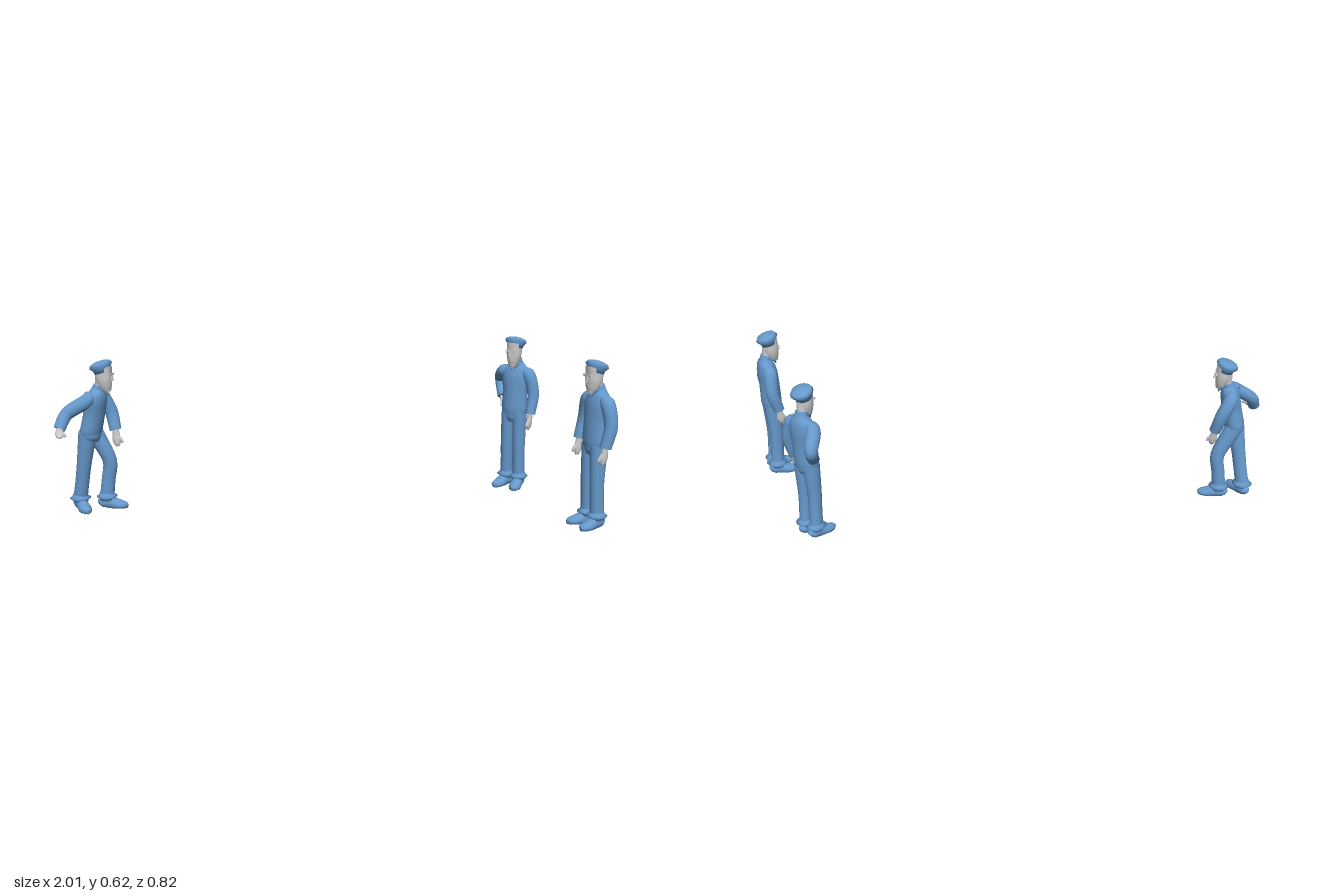
import * as THREE from 'three';

const cloth = new THREE.MeshStandardMaterial({ color: 0x6699cc });
const skin = new THREE.MeshStandardMaterial({ color: 0xcccccc });

// Smooth closed body through elliptical sections [x, y, z, sideRadius, otherRadius]
function loft(name, sections, mat, { ref = [0, 0, 1], steps = 4, sides = 14, adjust } = {}) {
  const path = new THREE.CatmullRomCurve3(sections.map(s => new THREE.Vector3(s[0], s[1], s[2])));
  const size = new THREE.CatmullRomCurve3(sections.map(s => new THREE.Vector3(s[3], s[4], 0)));
  const refV = new THREE.Vector3(...ref), rings = (sections.length - 1) * steps;
  const pos = [], idx = [], p = new THREE.Vector3();
  for (let i = 0; i <= rings; i++) {
    const c = path.getPoint(i / rings), r = size.getPoint(i / rings), t = path.getTangent(i / rings);
    const s = new THREE.Vector3().crossVectors(t, refV).normalize();
    const n = new THREE.Vector3().crossVectors(t, s);
    for (let j = 0; j < sides; j++) {
      const a = j / sides * Math.PI * 2;
      p.copy(c).addScaledVector(s, r.x * Math.cos(a)).addScaledVector(n, r.y * Math.sin(a));
      if (adjust) adjust(p);
      pos.push(p.x, p.y, p.z);
      if (i < rings) {
        const k = i * sides, j2 = (j + 1) % sides;
        idx.push(k + j, k + j2, k + sides + j, k + j2, k + sides + j2, k + sides + j);
      }
    }
  }
  // flat ends with their own vertices
  for (const [ring, flip] of [[0, true], [rings, false]]) {
    const base = pos.length / 3;
    pos.push(...pos.slice(ring * sides * 3, (ring + 1) * sides * 3));
    for (let j = 1; j < sides - 1; j++)
      idx.push(base, base + (flip ? j + 1 : j), base + (flip ? j : j + 1));
  }
  const g = new THREE.BufferGeometry();
  g.setAttribute('position', new THREE.Float32BufferAttribute(pos, 3));
  g.setIndex(idx);
  g.computeVertexNormals();
  const m = new THREE.Mesh(g, mat);
  m.name = name;
  return m;
}

function box(name, size, at, rot, mat) {
  const m = new THREE.Mesh(new THREE.BoxGeometry(...size), mat);
  m.name = name;
  m.position.set(...at);
  m.rotation.set(...rot);
  return m;
}

// Head with flattened face, neck and soft cap
function head() {
  const g = new THREE.Group();
  g.name = 'head';
  g.add(loft('face', [
    [0, 0.496, 0.036, 0.011, 0.010], [0, 0.515, 0.028, 0.021, 0.023],
    [0, 0.545, 0.022, 0.028, 0.032], [0, 0.592, 0.020, 0.029, 0.034]
  ], skin, { adjust: p => { p.z = Math.min(p.z, 0.049); } }));
  g.add(loft('neck', [[0, 0.495, 0, 0.02, 0.02], [0, 0.52, 0.004, 0.018, 0.019], [0, 0.56, 0.01, 0.022, 0.022]], skin));
  g.add(box('brow', [0.046, 0.007, 0.008], [0, 0.561, 0.048], [0, 0, 0], skin));
  g.add(box('nose', [0.009, 0.022, 0.008], [0, 0.549, 0.051], [-0.15, 0, 0], skin));
  const profile = [[0, -0.012], [0.031, -0.012], [0.033, 0], [0.043, 0.013], [0.037, 0.023], [0.02, 0.029], [0, 0.031]];
  const cap = new THREE.Mesh(new THREE.LatheGeometry(profile.map(q => new THREE.Vector2(...q)), 14), cloth);
  cap.name = 'cap';
  cap.position.set(0, 0.582, 0.015);
  cap.rotation.x = -0.3;
  g.add(cap);
  return g;
}

// Sleeve through shoulder, elbow and wrist, with a hand reaching to the tip
function arm(name, [sh, el, wr, tip]) {
  const g = new THREE.Group();
  g.name = name;
  g.add(loft('sleeve', [
    [sh[0] * 0.55, sh[1] + 0.02, sh[2], 0.012, 0.016], [...sh, 0.024, 0.027],
    [...el, 0.022, 0.025], [...wr, 0.019, 0.022]
  ], cloth, { steps: 6 }));
  const at = k => wr.map((v, i) => v + (tip[i] - v) * k);
  g.add(loft('hand', [
    [...at(-0.1), 0.010, 0.012], [...at(0.25), 0.010, 0.013], [...at(0.55), 0.010, 0.017],
    [...at(0.85), 0.008, 0.012], [...at(1), 0.004, 0.006]
  ], skin, { sides: 10 }));
  const a = at(0.3), b = at(0.7);
  g.add(loft('thumb', [
    [a[0], a[1], a[2] + 0.006, 0.006, 0.006], [b[0], b[1], b[2] + 0.02, 0.005, 0.005],
    [b[0], b[1] - 0.006, b[2] + 0.02, 0.002, 0.002]
  ], skin, { sides: 8 }));
  return g;
}

// Trouser leg with turned-up cuff, and a shoe pointing along yaw
function leg(name, [hip, knee, ankle], yaw) {
  const g = new THREE.Group();
  g.name = name;
  const mid = knee.map((v, i) => v * 0.5 + ankle[i] * 0.5);
  g.add(loft('trouserLeg', [
    [...hip, 0.026, 0.034], [hip[0] * 0.7 + knee[0] * 0.3, hip[1] * 0.7 + knee[1] * 0.3, hip[2] * 0.7 + knee[2] * 0.3, 0.026, 0.032],
    [...knee, 0.024, 0.027], [...mid, 0.023, 0.026], [ankle[0], 0.045, ankle[2], 0.024, 0.027]
  ], cloth));
  g.add(loft('cuff', [
    [ankle[0], 0.060, ankle[2], 0.024, 0.027], [ankle[0], 0.052, ankle[2], 0.027, 0.030],
    [ankle[0], 0.036, ankle[2], 0.027, 0.030], [ankle[0], 0.028, ankle[2], 0.025, 0.028]
  ], cloth, { steps: 2 }));
  const shoe = loft('shoe', [
    [0, 0.012, -0.030, 0.010, 0.012], [0, 0.018, -0.022, 0.020, 0.020], [0, 0.020, 0.010, 0.021, 0.025],
    [0, 0.012, 0.045, 0.024, 0.020], [0, 0.010, 0.070, 0.017, 0.014], [0, 0.008, 0.080, 0.006, 0.008]
  ], cloth, { ref: [0, 1, 0], adjust: p => { p.y = Math.max(p.y, 0); } });
  shoe.position.set(ankle[0], 0, ankle[2]);
  shoe.rotation.y = yaw;
  g.add(shoe);
  return g;
}

// Whole figure; lean shears the upper body forward, squash lowers it
function figure(name, { at, yaw, lean = 0, squash = 1, leftArm, rightArm, leftLeg, rightLeg, toes = [0.2, -0.2] }) {
  const g = new THREE.Group();
  g.name = name;
  const bend = p => { const h = Math.max(p.y - 0.31, 0); p.z += lean * h; p.y -= h * (1 - squash); };
  g.add(loft('shirt', [
    [0, 0.300, 0, 0.049, 0.037], [0, 0.325, 0, 0.052, 0.040], [0, 0.390, 0, 0.050, 0.039],
    [0, 0.450, -0.002, 0.056, 0.038], [0, 0.485, -0.004, 0.050, 0.032], [0, 0.508, -0.002, 0.026, 0.024],
    [0, 0.524, 0.002, 0.022, 0.022]
  ], cloth, { adjust: bend, sides: 18 }));
  g.add(loft('trouserSeat', [
    [0, 0.320, 0, 0.046, 0.035], [0, 0.295, 0, 0.047, 0.036], [0, 0.272, 0, 0.032, 0.028]
  ], cloth));
  // head and collar ride on the bent torso
  const top = new THREE.Group();
  top.name = 'headAndCollar';
  const c = new THREE.Vector3(0, 0.515, 0);
  bend(c);
  top.position.set(0, c.y - 0.515, c.z);
  top.add(head());
  for (const s of [-1, 1])
    top.add(box('collarFlap', [0.010, 0.032, 0.005], [s * 0.011, 0.499, 0.027], [-0.5, 0, -s * 0.55], cloth));
  g.add(top);
  g.add(arm('leftArm', leftArm), arm('rightArm', rightArm));
  g.add(leg('leftLeg', leftLeg, toes[0]), leg('rightLeg', rightLeg, toes[1]));
  g.position.set(at[0], 0, at[1]);
  g.rotation.y = yaw;
  return g;
}

const mirror = pts => pts.map(([x, y, z]) => [-x, y, z]);

export function createModel() {
  const model = new THREE.Group();
  model.name = 'threeSailors';
  const hangArm = [[0.056, 0.465, -0.002], [0.076, 0.390, -0.006], [0.076, 0.312, 0.012], [0.074, 0.250, 0.020]];
  const standLeg = [[0.024, 0.310, 0], [0.026, 0.170, 0], [0.027, 0.040, -0.008]];

  model.add(figure('standingSailor', {
    at: [0.94, 0.135], yaw: -1.01,
    leftArm: hangArm, rightArm: mirror(hangArm), leftLeg: standLeg, rightLeg: mirror(standLeg)
  }));
  model.add(figure('handOnHipSailor', {
    at: [0.66, -0.29], yaw: -0.49,
    leftArm: hangArm,
    rightArm: [[-0.056, 0.468, -0.004], [-0.097, 0.420, -0.060], [-0.068, 0.358, -0.026], [-0.042, 0.322, 0.004]],
    leftLeg: standLeg, rightLeg: mirror(standLeg)
  }));
  model.add(figure('reachingSailor', {
    at: [-0.90, 0.24], yaw: Math.PI / 2, lean: 0.2, squash: 0.83,
    leftArm: [[0.052, 0.440, 0.028], [0.068, 0.375, 0.055], [0.056, 0.302, 0.074], [0.048, 0.240, 0.082]],
    rightArm: [[-0.052, 0.440, 0.012], [-0.075, 0.390, -0.060], [-0.105, 0.342, -0.078], [-0.168, 0.327, -0.050]],
    leftLeg: [[0.024, 0.310, 0], [0.037, 0.185, 0.052], [0.037, 0.040, 0.033]],
    rightLeg: [[-0.020, 0.310, -0.006], [-0.010, 0.175, -0.033], [0.003, 0.040, -0.060]],
    toes: [0, -0.85]
  }));
  return model;
}
